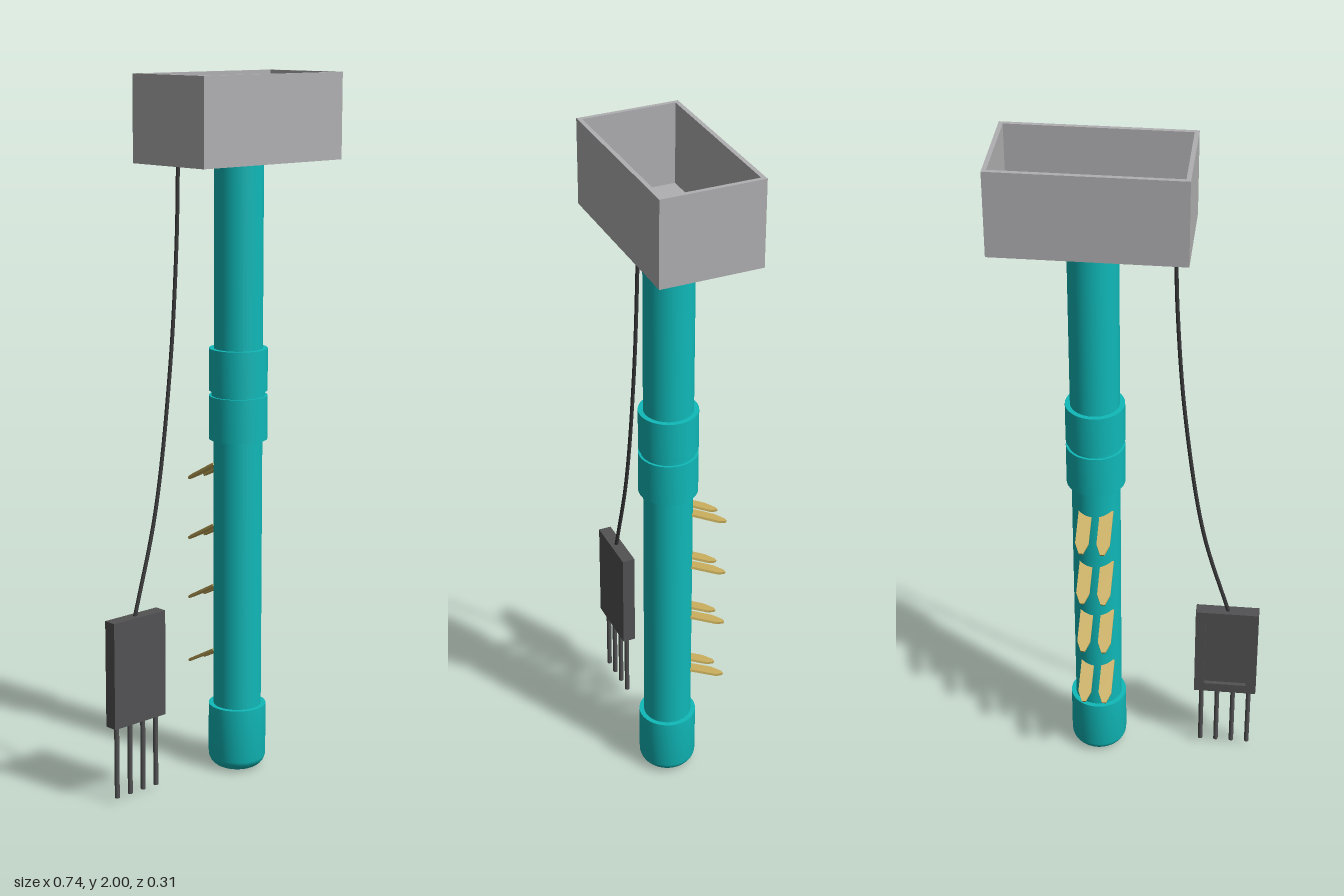
import * as THREE from 'three';
import { toCreasedNormals } from 'three/addons/utils/BufferGeometryUtils.js';

const material = (name, color) => {
  const m = new THREE.MeshStandardMaterial({ color });
  m.name = name;
  return m;
};

export function createModel() {
  const grey = material('tray grey', 0xb0b0b2);
  const teal = material('pipe teal', 0x10b8b8);
  const charcoal = material('sensor charcoal', 0x525254);
  const black = material('cable black', 0x38383a);
  const brass = material('prong brass', 0xc8ad5c);

  const model = new THREE.Group();
  model.name = 'soilProbe';
  const add = (name, geometry, mat, x = 0, y = 0, z = 0, parent = model) => {
    const mesh = new THREE.Mesh(geometry, mat);
    mesh.name = name;
    mesh.position.set(x, y, z);
    parent.add(mesh);
    return mesh;
  };

  // Rectangular outline, optionally with a rectangular opening
  const rectPoints = (w, h) =>
    [[-w, -h], [w, -h], [w, h], [-w, h]].map(([x, y]) => new THREE.Vector2(x / 2, y / 2));
  const frame = (w, h, border, depth) => {
    const shape = new THREE.Shape(rectPoints(w, h));
    shape.holes.push(new THREE.Path(rectPoints(w - 2 * border, h - 2 * border)));
    return new THREE.ExtrudeGeometry(shape, { depth, bevelEnabled: false });
  };

  // Open tray on top
  const tray = new THREE.Group();
  tray.name = 'tray';
  tray.position.set(0.105, 1.76, 0.0125);
  model.add(tray);
  add('trayFloor', new THREE.BoxGeometry(0.52, 0.012, 0.285), grey, 0, 0.006, 0, tray);
  add('trayWalls', frame(0.52, 0.285, 0.012, 0.228).rotateX(-Math.PI / 2), grey, 0, 0.012, 0, tray);

  // Pipe with a double collar and a rounded end cap
  const pipe = new THREE.Group();
  pipe.name = 'pipe';
  pipe.position.set(0.107, 0, 0.012);
  model.add(pipe);
  const turned = (name, profile) => {
    const points = profile.map(([r, y]) => new THREE.Vector2(r, y));
    add(name, toCreasedNormals(new THREE.LatheGeometry(points, 40), 0.6), teal, 0, 0, 0, pipe);
  };
  turned('pipeShaft', [[0, 0.15], [0.069, 0.15], [0.069, 1.765], [0, 1.765]]);
  turned('collar', [
    [0.068, 0.98], [0.083, 0.98], [0.083, 1.105], [0.076, 1.105],
    [0.076, 1.12], [0.083, 1.12], [0.083, 1.24], [0.068, 1.24],
  ]);
  const cap = [[0, 0]];
  for (let i = 0; i <= 8; i++) {
    const a = (i / 8) * Math.PI / 2;
    cap.push([0.043 + 0.04 * Math.sin(a), 0.04 - 0.04 * Math.cos(a)]);
  }
  turned('endCap', [...cap, [0.083, 0.19], [0.068, 0.19]]);

  // Pairs of pointed prongs sloping down from the back of the pipe
  const blade = new THREE.Shape([
    [-0.019, 0], [0.019, 0], [0.019, 0.105], [0.006, 0.136], [-0.006, 0.136], [-0.019, 0.105],
  ].map(([x, y]) => new THREE.Vector2(x, y)));
  const bladeGeometry = new THREE.ExtrudeGeometry(blade, { depth: 0.007, bevelEnabled: false });
  bladeGeometry.translate(0, 0, -0.0035).rotateX(-Math.PI / 2 - 0.5);
  for (const y of [0.905, 0.725, 0.545, 0.35]) {
    for (const x of [0.072, 0.132]) add('prong', bladeGeometry, brass, x, y, -0.035);
  }

  // Sensor box with a recessed back and four pins
  const sensor = new THREE.Group();
  sensor.name = 'sensor';
  sensor.position.set(-0.2775, 0.3825, 0.009);
  model.add(sensor);
  add('sensorBody', new THREE.BoxGeometry(0.185, 0.305, 0.026), charcoal, 0, 0, 0.006, sensor);
  add('sensorBackRim', frame(0.185, 0.305, 0.03, 0.012), charcoal, 0, 0, -0.019, sensor);
  for (let i = 0; i < 4; i++) {
    add('sensorPin', new THREE.CylinderGeometry(0.007, 0.007, 0.22, 16), charcoal,
      -0.0715 + i * 0.0475, -0.2525, 0, sensor);
  }

  // Cable hanging from the tray to the sensor
  const path = new THREE.CatmullRomCurve3([
    [-0.11, 1.765, 0.003], [-0.117, 1.55, 0.004], [-0.142, 1.22, 0.005],
    [-0.2, 0.82, 0.007], [-0.28, 0.53, 0.009],
  ].map((p) => new THREE.Vector3(...p)));
  add('cable', new THREE.TubeGeometry(path, 48, 0.0055, 10), black);

  return model;
}
